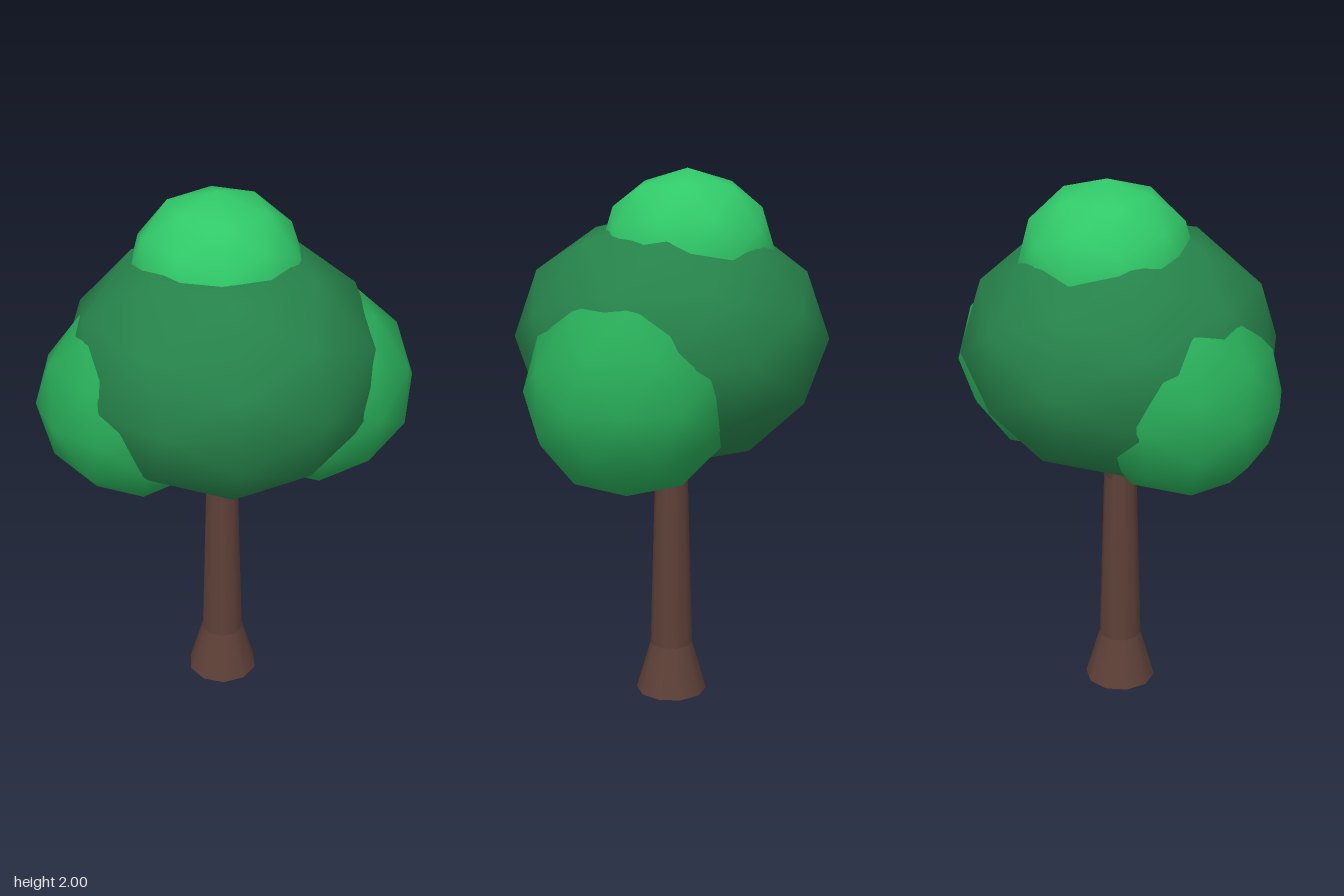
import * as THREE from 'three';

function material(name, color) {
  const m = new THREE.MeshStandardMaterial({ color });
  m.name = name;
  return m;
}

export function createModel() {
  const bark = material('barkBrown', 0x5d4037);
  const deepGreen = material('deepGreen', 0x26824a);
  const midGreen = material('midGreen', 0x27a856);
  const brightGreen = material('brightGreen', 0x31ca69);

  const tree = new THREE.Group();
  tree.name = 'tree';

  function add(name, geometry, mat, [x, y, z]) {
    const mesh = new THREE.Mesh(geometry, mat);
    mesh.name = name;
    mesh.position.set(x, y, z);
    tree.add(mesh);
    return mesh;
  }

  // Trunk with a flared foot
  const trunkX = -0.027;
  add('trunkFoot', new THREE.CylinderGeometry(0.08, 0.134, 0.19, 10), bark, [trunkX, 0.095, 0]);
  add('trunk', new THREE.CylinderGeometry(0.057, 0.08, 0.83, 10), bark, [trunkX, 0.605, 0]);

  // Branches reaching up into the leaves
  function branch(name, from, to) {
    const a = new THREE.Vector3(...from);
    const b = new THREE.Vector3(...to);
    const dir = b.clone().sub(a);
    const mid = a.clone().add(b).multiplyScalar(0.5);
    const mesh = add(name, new THREE.CylinderGeometry(0.027, 0.038, dir.length(), 8), bark, mid.toArray());
    mesh.quaternion.setFromUnitVectors(new THREE.Vector3(0, 1, 0), dir.normalize());
  }
  branch('leftBranch', [-0.015, 0.81, 0.015], [0.13, 1.15, 0.06]);
  branch('rightBranch', [-0.04, 0.82, 0], [-0.14, 1.15, -0.03]);
  branch('backBranch', [-0.02, 0.83, -0.01], [0.01, 1.15, -0.1]);

  // Leaf clumps: smooth-shaded low-poly balls, each with its own radii
  function clump(name, mat, centre, radii) {
    add(name, new THREE.IcosahedronGeometry(1, 1), mat, centre).scale.set(...radii);
  }
  clump('mainFoliage', deepGreen, [-0.025, 1.385, 0], [0.575, 0.466, 0.575]);
  clump('leftFoliage', midGreen, [0.288, 1.252, 0.132], [0.376, 0.371, 0.374]);
  clump('rightFoliage', midGreen, [-0.313, 1.278, -0.125], [0.358, 0.355, 0.357]);
  clump('topFoliage', brightGreen, [0, 1.71, -0.058], [0.313, 0.29, 0.313]);

  return tree;
}
